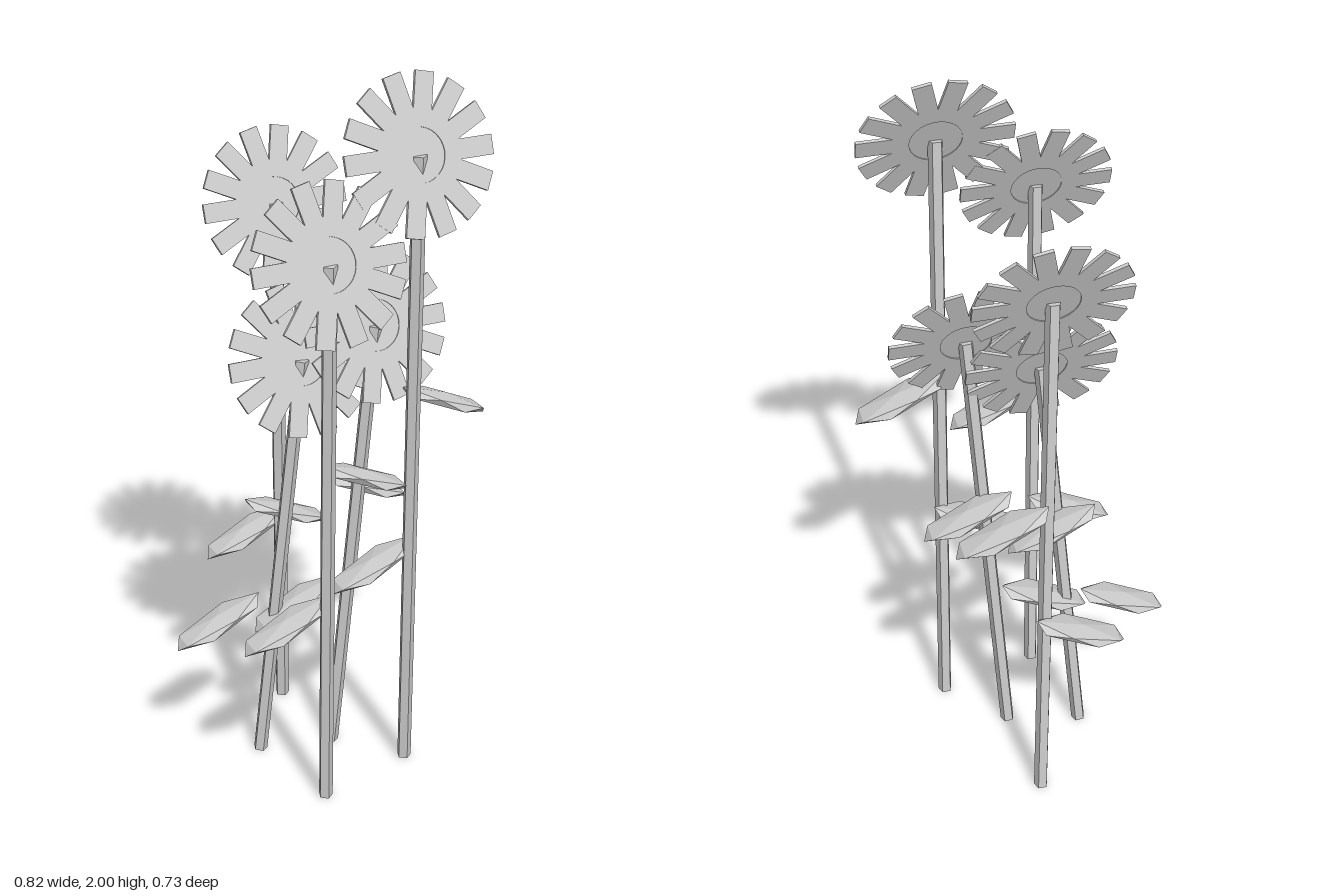
import * as THREE from 'three';
import { ConvexGeometry } from 'three/addons/geometries/ConvexGeometry.js';

const PETALS = 14, REACH = 0.2025, HALF_WIDTH = 0.025, HUB = 0.068, TILT = 0.35;

// stem top, stem foot (x, z), low leaf centre, high leaf centre
const FLOWERS = [
  { top: [0.14, 1.81, 0.21], foot: [0.175, 0.135], low: [0.07, 0.65, 0.13], high: [0.275, 1.1, 0.13] },
  { top: [-0.14, 1.6, 0.286], foot: [-0.11, 0.205], low: [-0.22, 0.575, 0.2], high: [0, 0.97, 0.21] },
  { top: [-0.04, 1.58, -0.232], foot: [0, -0.31], low: [-0.105, 0.575, -0.315], high: [0.11, 0.96, -0.312] },
  { top: [0.112, 1.31, 0.046], foot: [0.025, -0.03], low: [-0.08, 0.475, -0.045], high: [0.135, 0.8, -0.038] },
  { top: [-0.077, 1.23, -0.002], foot: [-0.178, -0.08], low: [-0.295, 0.45, -0.088], high: [-0.085, 0.75, -0.088] },
];

// Ring of straight petals with a round opening in the middle
function petalGeometry() {
  const shape = new THREE.Shape();
  const step = (2 * Math.PI) / PETALS;
  const notch = HALF_WIDTH / Math.sin(step / 2);
  for (let i = 0; i < PETALS; i++) {
    const a = i * step, c = Math.cos(a), s = Math.sin(a);
    for (const w of [-HALF_WIDTH, HALF_WIDTH]) {
      const x = REACH * c - w * s, y = REACH * s + w * c;
      if (i === 0 && w < 0) shape.moveTo(x, y);
      else shape.lineTo(x, y);
    }
    shape.lineTo(notch * Math.cos(a + step / 2), notch * Math.sin(a + step / 2));
  }
  shape.closePath();
  shape.holes.push(new THREE.Path().absarc(0, 0, HUB, 0, 2 * Math.PI, true));
  const geo = new THREE.ExtrudeGeometry(shape, { depth: 0.009, bevelEnabled: false, curveSegments: 14 });
  return geo.translate(0, 0, -0.0045);
}

// Long faceted leaf: two offset pentagon rings between two poles
function leafGeometry() {
  const points = [new THREE.Vector3(0, 1, 0), new THREE.Vector3(0, -1, 0)];
  for (let i = 0; i < 5; i++) {
    const a = (i * 2 * Math.PI) / 5;
    const x = 0.894 * Math.cos(a), z = 0.894 * Math.sin(a);
    points.push(new THREE.Vector3(x, 0.447, z), new THREE.Vector3(-x, -0.447, -z));
  }
  const size = new THREE.Vector3(0.153, 0.02, 0.061);
  return new ConvexGeometry(points.map((p) => p.multiply(size)));
}

export function createModel() {
  const model = new THREE.Group();
  model.name = 'flowers';
  const grey = new THREE.MeshStandardMaterial({ color: 0xcccccc, flatShading: true });
  grey.name = 'light grey';

  const petals = petalGeometry();
  const hub = new THREE.CylinderGeometry(HUB + 0.001, HUB + 0.001, 0.004, 28).rotateX(Math.PI / 2);
  const leaf = leafGeometry();

  const add = (parent, name, geometry) => {
    const mesh = new THREE.Mesh(geometry, grey);
    mesh.name = name;
    parent.add(mesh);
    return mesh;
  };

  for (const f of FLOWERS) {
    const flower = new THREE.Group();
    flower.name = 'flower';
    model.add(flower);

    // Leaning five-sided stem
    const top = new THREE.Vector3(...f.top);
    const foot = new THREE.Vector3(f.foot[0], 0, f.foot[1]);
    const along = top.clone().sub(foot);
    const stem = add(flower, 'stem', new THREE.CylinderGeometry(0.02, 0.02, along.length(), 5));
    stem.position.copy(top).add(foot).multiplyScalar(0.5);
    stem.quaternion.setFromUnitVectors(new THREE.Vector3(0, 1, 0), along.normalize());

    // Head tipped slightly upward
    const head = new THREE.Group();
    head.name = 'head';
    head.position.copy(top);
    head.rotation.x = -TILT;
    flower.add(head);
    add(head, 'petals', petals);
    add(head, 'hub', hub);

    // Two leaves drooping to opposite sides
    const low = add(flower, 'lowLeaf', leaf);
    low.position.set(...f.low);
    low.rotation.set(0, 0, 0.4);
    const high = add(flower, 'highLeaf', leaf);
    high.position.set(...f.high);
    high.rotation.set(0, Math.PI, 0.4);
  }
  return model;
}
